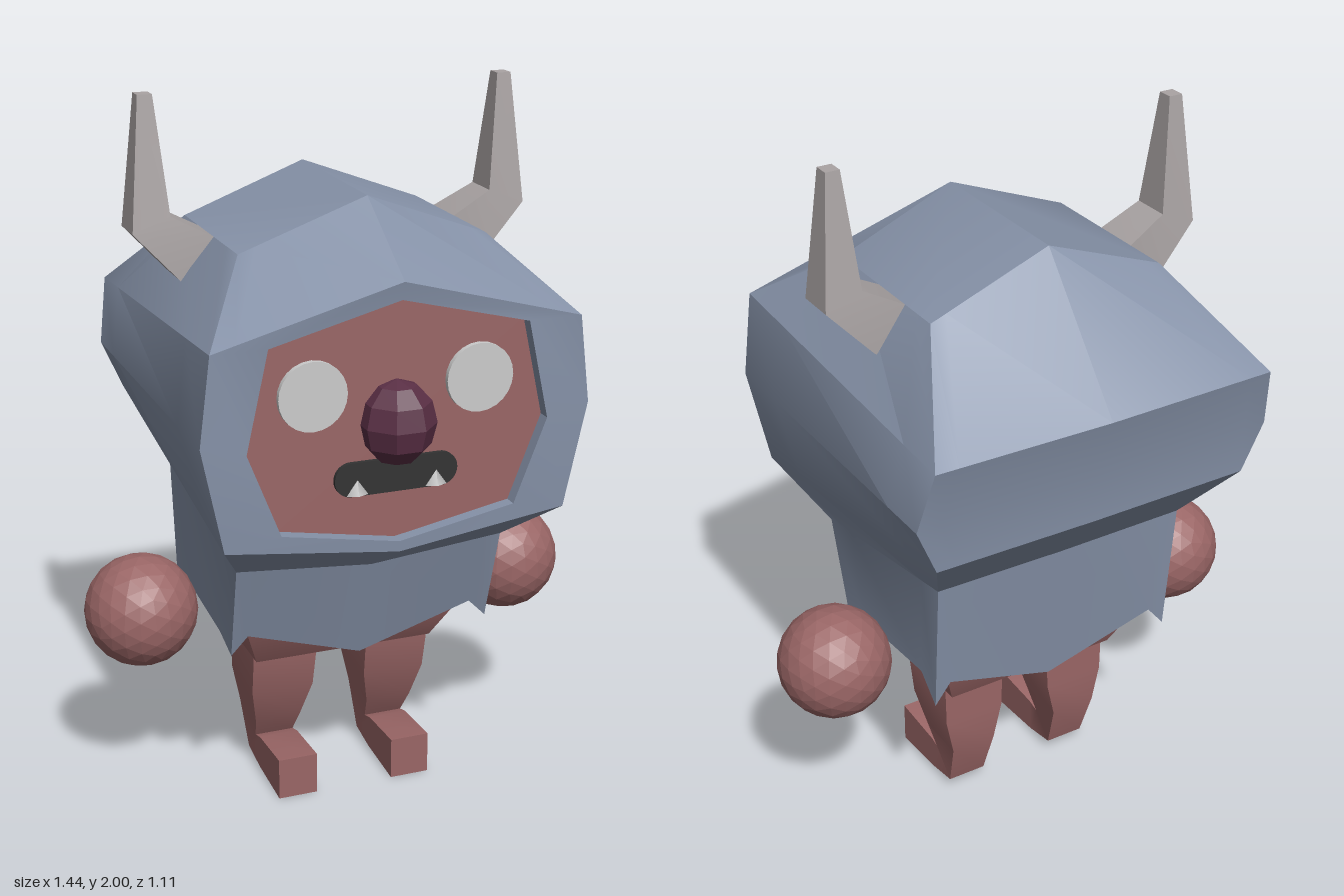
import * as THREE from 'three';
import { toCreasedNormals } from 'three/addons/utils/BufferGeometryUtils.js';

const mat = (color) => new THREE.MeshStandardMaterial({ color, roughness: 0.9, side: THREE.DoubleSide });
const SIDES = [['left', 1], ['right', -1]];

function mesh(name, geometry, material) {
  const m = new THREE.Mesh(geometry, material);
  m.name = name;
  return m;
}

// Collects quads and triangles into one creased geometry.
function build(faces, crease = 0.5) {
  const pos = [];
  for (const f of faces)
    for (let i = 1; i < f.length - 1; i++) pos.push(...f[0], ...f[i], ...f[i + 1]);
  const g = new THREE.BufferGeometry();
  g.setAttribute('position', new THREE.Float32BufferAttribute(pos, 3));
  return toCreasedNormals(g, crease);
}

// Faces between successive rings (first ring is the upper end).
function strips(rings, skip = () => false) {
  const faces = [];
  for (let r = 0; r < rings.length - 1; r++) {
    const a = rings[r], b = rings[r + 1], n = a.length;
    for (let i = 0; i < n; i++)
      if (!skip(r, i)) faces.push([a[i], b[i], b[(i + 1) % n], a[(i + 1) % n]]);
  }
  return faces;
}

const loft = (rings, crease) =>
  build([...strips(rings), rings[0], [...rings[rings.length - 1]].reverse()], crease);

const flip = ([x, y, z]) => [-x, y, z];
const mirrorRing = (ring, s) => (s > 0 ? ring : ring.map(flip).reverse());
const mirrorLoop = (half) => [...half, ...half.slice(1, -1).reverse().map(flip)];
const lerp = (a, b, t) => a.map((v, i) => v + (b[i] - v) * t);

function hoodGeometry() {
  // front centre, front corner, back corner, back centre at each level
  const levels = [
    [[0, 1.755, 0.24], [0.345, 1.625, 0.22], [0.345, 1.625, -0.25], [0, 1.755, -0.25]],
    [[0, 1.59, 0.495], [0.505, 1.45, 0.48], [0.505, 1.39, -0.545], [0, 1.39, -0.555]],
    [[0, 1.21, 0.49], [0.535, 1.21, 0.48], [0.535, 1.21, -0.5], [0, 1.21, -0.505]],
    [[0, 0.86, 0.48], [0.475, 0.92, 0.475], [0.475, 1.07, -0.49], [0, 1.07, -0.495]],
    [[0, 0.745, 0.285], [0.385, 0.78, 0.285], [0.385, 0.89, -0.335], [0, 0.89, -0.34]],
    [[0, 0.445, 0.2], [0.38, 0.5, 0.21], [0.38, 0.49, -0.3], [0, 0.445, -0.28]],
  ];
  const hem = [0.445, 0.55, 0.5, 0.53, 0.56, 0.49, 0.55, 0.445];
  const halves = levels.map(([f, c, b, k]) =>
    [f, lerp(f, c, 0.87), c, lerp(c, b, 0.2), lerp(c, b, 0.85), b, lerp(k, b, 0.87), k]);
  halves[5].forEach((p, i) => { p[1] = hem[i]; });

  // Walls, leaving the front open for the face
  const front = [0, 1, 12, 13];
  const faces = strips(halves.map(mirrorLoop), (r, i) => (r === 1 || r === 2) && front.includes(i));

  // Two roof panels
  const [f, c, b, k] = levels[0];
  faces.push([f, c, b, k], [f, k, flip(b), flip(c)]);

  // Rim around the face and its inner wall
  const outer = mirrorLoop([levels[1][0], levels[1][1], levels[2][1], levels[3][1], levels[3][0]]);
  const inner = mirrorLoop(FACE.map(([x, y]) => [x, y, 0.482]));
  const deep = inner.map(([x, y]) => [x, y, 0.43]);
  return build([...faces, ...strips([outer, inner, deep]).map((q) => q.reverse())]);
}

const FACE = [[0, 1.54], [0.355, 1.45], [0.415, 1.18], [0.325, 0.95], [0, 0.89]];

export function createModel() {
  const group = new THREE.Group();
  group.name = 'hornedCreature';
  const hood = mat(0x8692a8), skin = mat(0x9a6666), horn = mat(0xaaa4a4);
  const white = mat(0xcccccc), dark = mat(0x333333), plum = mat(0x5a2f45);

  group.add(mesh('hood', hoodGeometry(), hood));

  // Recessed face
  const outline = mirrorLoop(FACE.map(([x, y]) => [x, y, 0]));
  const face = mesh('face', new THREE.ShapeGeometry(
    new THREE.Shape(outline.map(([x, y]) => new THREE.Vector2(x, y)))), skin);
  face.position.z = 0.445;
  group.add(face);

  // Faceted nose
  const noseGeo = new THREE.SphereGeometry(1, 8, 6).rotateY(Math.PI / 8).toNonIndexed();
  noseGeo.computeVertexNormals();
  const nose = mesh('nose', noseGeo, plum);
  nose.scale.set(0.105, 0.115, 0.11);
  nose.position.set(0, 1.21, 0.45);
  group.add(nose);

  // Pill-shaped mouth
  const pill = new THREE.Shape();
  pill.absarc(0.125, 0, 0.046, -Math.PI / 2, Math.PI / 2);
  pill.absarc(-0.125, 0, 0.046, Math.PI / 2, Math.PI * 1.5);
  const mouth = mesh('mouth', new THREE.ExtrudeGeometry(pill, { depth: 0.012, bevelEnabled: false }), dark);
  mouth.position.set(0, 1.067, 0.445);
  group.add(mouth);

  // Lower torso beneath the hem
  const slab = (x, y, zf, zb) => [[-x, y, zf], [x, y, zf], [x, y, zb], [-x, y, zb]];
  group.add(mesh('torso', loft([
    slab(0.33, 0.72, 0.19, -0.27), slab(0.325, 0.55, 0.175, -0.265), slab(0.265, 0.4, 0.08, -0.19),
  ]), skin));

  for (const [side, s] of SIDES) {
    const eye = mesh(side + 'Eye', new THREE.CylinderGeometry(0.093, 0.093, 0.02, 24).rotateX(Math.PI / 2), white);
    eye.position.set(s * 0.23, 1.305, 0.45);
    group.add(eye);

    const tooth = mesh(side + 'Tooth', new THREE.ConeGeometry(0.03, 0.042, 4), white);
    tooth.scale.z = 0.4;
    tooth.position.set(s * 0.11, 1.046, 0.46);
    group.add(tooth);

    // Bent horn, tip to root: inner x, y, outer x, y, half depth
    const hornRings = [
      [0.487, 2, 0.527, 2, 0.022],
      [0.457, 1.685, 0.56, 1.645, 0.056],
      [0.345, 1.625, 0.44, 1.515, 0.07],
      [0.27, 1.57, 0.36, 1.44, 0.07],
    ].map(([xi, yi, xo, yo, d]) => mirrorRing(
      [[xi, yi, -0.052 + d], [xo, yo, -0.052 + d], [xo, yo, -0.052 - d], [xi, yi, -0.052 - d]], s));
    group.add(mesh(side + 'Horn', loft(hornRings, 0.2), horn));

    // Floating round hand
    const hand = mesh(side + 'Hand', new THREE.IcosahedronGeometry(0.16, 3), skin.clone());
    hand.material.flatShading = true;
    hand.position.set(s * 0.56, 0.557, -0.052);
    group.add(hand);

    // Leg and foot, hip to toe: x range, front y z, back y z
    const legRings = [
      [0.08, 0.265, 0.46, 0.06, 0.46, -0.155],
      [0.077, 0.266, 0.38, 0.055, 0.38, -0.155],
      [0.08, 0.264, 0.28, 0.035, 0.28, -0.155],
      [0.105, 0.242, 0.17, -0.005, 0.17, -0.153],
      [0.115, 0.23, 0.1, -0.045, 0.03, -0.11],
      [0.115, 0.23, 0.112, -0.005, 0.012, -0.01],
      [0.115, 0.23, 0.122, 0.165, 0, 0.165],
    ].map(([x0, x1, yf, zf, yb, zb]) => mirrorRing(
      [[x0, yf, zf], [x1, yf, zf], [x1, yb, zb], [x0, yb, zb]], s));
    group.add(mesh(side + 'Leg', loft(legRings), skin));
  }
  return group;
}
